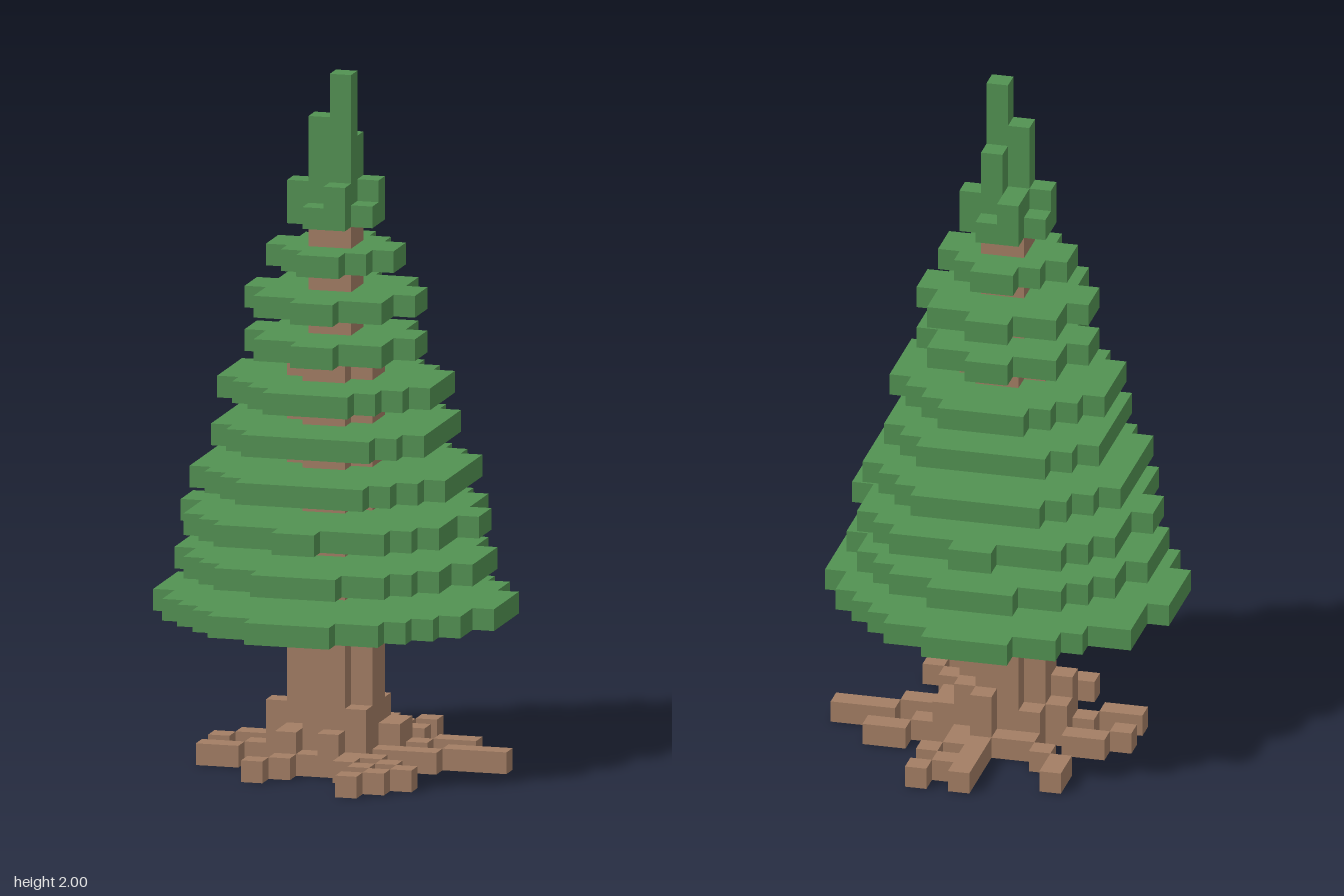
import * as THREE from 'three';

const U = 0.0625; // block size
const green = new THREE.MeshStandardMaterial({ color: 0x529252, flatShading: true });
const brown = new THREE.MeshStandardMaterial({ color: 0xa37e64, flatShading: true });

// Box given by its block corners
function block(parent, name, mat, [x0, y0, z0], [x1, y1, z1]) {
  const geo = new THREE.BoxGeometry(x1 - x0, y1 - y0, z1 - z0);
  geo.translate((x0 + x1) / 2, (y0 + y1) / 2, (z0 + z1) / 2);
  const mesh = new THREE.Mesh(geo, mat);
  mesh.name = name;
  parent.add(mesh);
}

// One-block column standing on cell (i, k)
function column(parent, name, mat, i, k, bottom, top) {
  block(parent, name, mat, [i, bottom, k], [i + 1, top, k + 1]);
}

// Stepped round slab, one block thick
function branchDisc(parent, radius, y) {
  const n = Math.round(radius);
  const right = [];
  for (let k = -n; k < n; k++) {
    let w = 0;
    while (Math.hypot(w + 0.5, k + 0.5) < radius) w++;
    right.push(new THREE.Vector2(w, k), new THREE.Vector2(w, k + 1));
  }
  const left = right.map(p => new THREE.Vector2(-p.x, p.y)).reverse();
  const outline = [...right, ...left].filter((p, j, a) => j === 0 || !p.equals(a[j - 1]));
  const geo = new THREE.ExtrudeGeometry(new THREE.Shape(outline), { depth: 1, bevelEnabled: false });
  geo.rotateX(Math.PI / 2).translate(0, y + 1, 0);
  const mesh = new THREE.Mesh(geo, green);
  mesh.name = 'branchLayer';
  parent.add(mesh);
}

export function createModel() {
  const tree = new THREE.Group();
  tree.name = 'tree';
  const group = name => {
    const g = new THREE.Group();
    g.name = name;
    tree.add(g);
    return g;
  };

  // Trunk: cross-shaped below, square above, one block off the ground
  const trunk = group('trunk');
  block(trunk, 'lowerTrunk', brown, [-2, 1, -1], [2, 19, 1]);
  block(trunk, 'lowerTrunk', brown, [-1, 1, -2], [1, 19, 2]);
  block(trunk, 'upperTrunk', brown, [-1, 19, -1], [1, 25, 1]);

  // Flare around the foot: cell x, cell z, height
  const flare = group('trunkFlare');
  [
    [1, 1, 3], [1, -2, 3], [-2, 1, 2], [-2, -2, 2],
    [-3, 0, 3], [-3, -1, 2], [2, 0, 1], [2, -1, 2], [2, -2, 2],
    [0, -3, 3], [1, -3, 1], [-1, -3, 1], [-2, 2, 2], [-1, 2, 1], [0, 2, 2],
  ].forEach(([i, k, h]) => column(flare, 'flare', brown, i, k, 0, h));

  // Roots: chains of cells on the ground
  const roots = group('roots');
  [
    [[-4, 0], [-5, 1], [-6, 1]],
    [[-2, 3], [-3, 4]],
    [[1, 2], [1, 3], [2, 4], [3, 5], [2, 6]],
    [[2, 2], [3, 3], [4, 4]],
    [[3, 0], [4, 0], [5, -1], [6, -1], [7, -1]],
    [[3, -2], [4, -3], [5, -3]],
    [[1, -4], [2, -5]],
    [[0, -4], [0, -5], [0, -6], [0, -7], [1, -6], [2, -7]],
    [[-2, -3], [-3, -4], [-4, -5], [-4, -6]],
    [[-4, -2], [-5, -2], [-6, -1]],
  ].forEach(path => path.forEach(([i, k]) => column(roots, 'root', brown, i, k, 0, 1)));

  // Tapering branch layers, every second block of height
  const foliage = group('foliage');
  [7.73, 6.75, 6.61, 6.05, 5.2, 4.75, 3.75, 3.75, 2.75]
    .forEach((radius, n) => branchDisc(foliage, radius, 7 + 2 * n));
  column(foliage, 'branchTip', green, -7, -5, 7, 8);

  // Crown: cell x, cell z, top height
  const crown = group('crown');
  [
    [0, 0, 32], [-1, 0, 30], [0, -1, 29], [-1, -1, 27],
    [-2, 0, 27], [-2, -1, 26], [1, 0, 26], [1, -1, 27],
    [0, 1, 27], [-1, 1, 26], [-1, -2, 27], [0, -2, 26],
  ].forEach(([i, k, h]) => column(crown, 'crownTuft', green, i, k, 25, h));

  tree.scale.setScalar(U);
  return tree;
}
